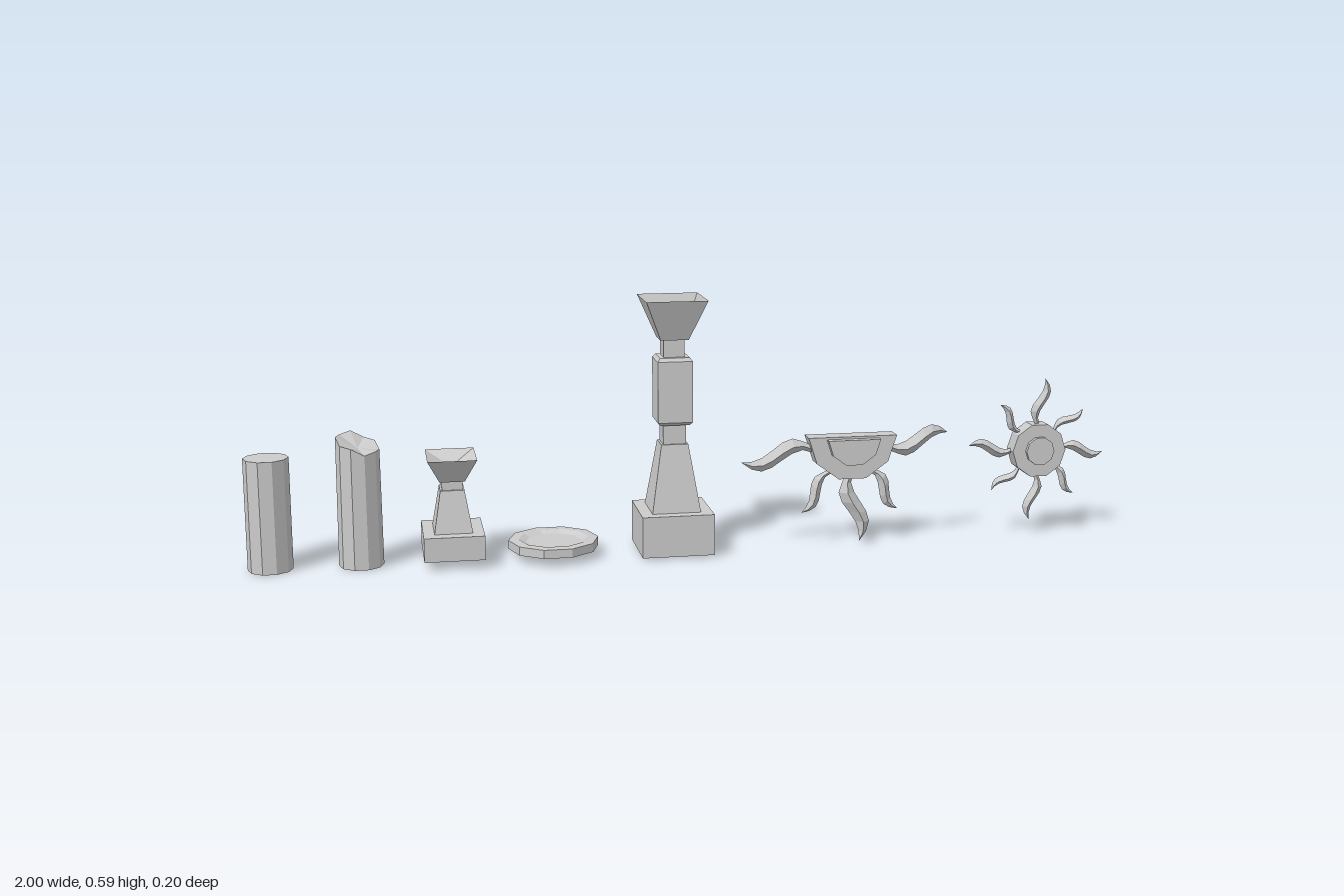
import * as THREE from 'three';

const mat = new THREE.MeshStandardMaterial({ color: 0xcccccc, flatShading: true });
const matOpen = new THREE.MeshStandardMaterial({ color: 0xcccccc, flatShading: true, side: THREE.DoubleSide });

function add(parent, name, geo, x = 0, y = 0, z = 0, material = mat) {
  const mesh = new THREE.Mesh(geo, material);
  mesh.name = name;
  mesh.position.set(x, y, z);
  parent.add(mesh);
  return mesh;
}

function group(parent, name, x, y, z) {
  const g = new THREE.Group();
  g.name = name;
  g.position.set(x, y, z);
  parent.add(g);
  return g;
}

// Square-section solid from a profile of [half width, y]
function squareLathe(profile, depthScale = 1) {
  const pts = profile.map(([w, y]) => new THREE.Vector2(w * Math.SQRT2, y));
  return new THREE.LatheGeometry(pts, 4, Math.PI / 4).scale(1, 1, depthScale);
}

// Ten-sided disc (or its lower half) facing z
function disc(r, depth, half = false) {
  const pts = [];
  const n = half ? 5 : 9;
  for (let i = 0; i <= n; i++) {
    const a = Math.PI + i * Math.PI / 5;
    pts.push(new THREE.Vector2(r * Math.cos(a), r * Math.sin(a)));
  }
  const geo = new THREE.ExtrudeGeometry(new THREE.Shape(pts), { depth, bevelEnabled: false });
  return geo.translate(0, 0, -depth / 2);
}

// Curling flame ray along +x: diamond sections swept on an S-curve
function rayGeometry(length, width, thick, curl, drift) {
  const widths = [0.4, 0.5, 0.85, 1, 0.95, 0.75, 0.42, 0];
  const n = widths.length - 1, pos = [], idx = [];
  widths.forEach((w, i) => {
    const t = i / n;
    const off = curl * length * (0.13 * t - 0.09 * Math.sin(2 * Math.PI * t));
    const z = drift * t * t;
    const hw = w * width, ht = w * thick;
    pos.push(t * length, off + hw, z, t * length, off, z + ht,
      t * length, off - hw, z, t * length, off, z - ht);
    if (i === n) return;
    for (let k = 0; k < 4; k++) {
      const a = i * 4 + k, b = i * 4 + (k + 1) % 4;
      idx.push(a, b, a + 4, b, b + 4, a + 4);
    }
  });
  idx.push(0, 2, 1, 0, 3, 2);
  const geo = new THREE.BufferGeometry();
  geo.setAttribute('position', new THREE.Float32BufferAttribute(pos, 3));
  geo.setIndex(idx);
  geo.computeVertexNormals();
  return geo;
}

// Each ray: [angle in degrees, start radius, tip radius, width, thickness, curl, z drift]
function addRays(parent, rays) {
  for (const [deg, r0, r1, w, t, curl, drift] of rays) {
    const a = THREE.MathUtils.degToRad(deg);
    const geo = rayGeometry(r1 - r0, w, t, curl, drift);
    add(parent, 'ray', geo, r0 * Math.cos(a), r0 * Math.sin(a), 0, matOpen).rotation.z = a;
  }
}

export function createModel() {
  const model = new THREE.Group();
  model.name = 'templeProps';

  // Whole column, open underneath
  const column = group(model, 'column', -0.95, 0, 0);
  const shaft = new THREE.CylinderGeometry(0.05, 0.05, 0.255, 10, 1, true).rotateY(Math.PI / 2);
  add(column, 'columnShaft', shaft, 0, 0.1275);
  add(column, 'columnTop', new THREE.CircleGeometry(0.05, 10).rotateX(-Math.PI / 2), 0, 0.255);

  // Broken column with a jagged slanted top
  const broken = group(model, 'brokenColumn', -0.75, 0, 0);
  const profile = [[0.05, 0], [0.048, 0.28], [0, 0.28]].map(([r, y]) => new THREE.Vector2(r, y));
  const stump = new THREE.LatheGeometry(profile, 10, Math.PI / 2);
  const p = stump.attributes.position;
  for (let i = 0; i < p.count; i++) {
    if (p.getY(i) < 0.1) continue;
    const x = p.getX(i), z = p.getZ(i);
    const centre = Math.hypot(x, z) < 0.01;
    p.setY(i, centre ? 0.268 : 0.28 - 0.32 * x - 0.3 * z + 0.006 * Math.sin(x * 130 + z * 90));
  }
  add(broken, 'brokenShaft', stump);

  // Small brazier with a shallow bowl
  const small = group(model, 'smallBrazier', -0.545, 0, 0);
  add(small, 'smallBase', squareLathe([[0.034, 0.02], [0.068, 0.02], [0.068, 0.075], [0.043, 0.075]], 1.2), 0, 0, 0, matOpen);
  add(small, 'smallShaft', squareLathe([[0.043, 0.075], [0.027, 0.17], [0.023, 0.17], [0.023, 0.19]], 1.2), 0, 0, 0, matOpen);
  add(small, 'smallBowl', squareLathe([[0.023, 0.19], [0.028, 0.19], [0.055, 0.245], [0, 0.218]], 1.2), 0, 0, 0, matOpen);

  // Round plate with a sunken centre
  const plate = [[0, 0.02], [0.103, 0.02], [0.103, 0.04], [0.08, 0.041], [0.064, 0.034], [0, 0.034]];
  add(model, 'roundPlate', new THREE.LatheGeometry(plate.map(([r, y]) => new THREE.Vector2(r, y)), 10, Math.PI / 2), -0.317);

  // Tall brazier, hollow from bowl to base
  const tall = group(model, 'tallBrazier', -0.04, 0, 0);
  add(tall, 'tallBase', squareLathe([[0.04, 0.005], [0.083, 0.005], [0.083, 0.1], [0.056, 0.1]]), 0, 0, 0, matOpen);
  add(tall, 'tallShaft', squareLathe([[0.056, 0.1], [0.031, 0.255], [0.026, 0.255], [0.026, 0.3]]), 0, 0, 0, matOpen);
  add(tall, 'tallBlock', squareLathe([[0.026, 0.3], [0.034, 0.3], [0.04, 0.307], [0.04, 0.447],
    [0.034, 0.455], [0.024, 0.455]]), 0, 0, 0, matOpen);
  add(tall, 'tallNeck', squareLathe([[0.024, 0.455], [0.024, 0.495]]), 0, 0, 0, matOpen);
  add(tall, 'tallBowl', squareLathe([[0.024, 0.495], [0.032, 0.495], [0.07, 0.588]]), 0, 0, 0, matOpen);
  add(tall, 'backMedallion', disc(0.036, 0.014), 0, 0.375, -0.04);

  // Half sun
  const half = group(model, 'halfSun', 0.375, 0.26, 0.024);
  add(half, 'halfRim', disc(0.105, 0.042, true));
  add(half, 'halfBoss', disc(0.062, 0.076, true), 0, -0.005);
  const halfRays = group(half, 'halfRays', 0, -0.03, 0);
  addRays(halfRays, [
    [180, 0.09, 0.262, 0.021, 0.016, 1, 0.014],
    [0, 0.09, 0.245, 0.021, 0.016, 1, -0.034],
    [270, 0.06, 0.222, 0.022, 0.018, 1, 0.014],
    [228, 0.075, 0.19, 0.015, 0.012, 1, 0],
    [312, 0.075, 0.19, 0.015, 0.012, -1, 0],
  ]);

  // Full sun
  const sun = group(model, 'fullSun', 0.83, 0.208, 0.022);
  add(sun, 'sunRim', disc(0.065, 0.042));
  add(sun, 'sunBoss', disc(0.034, 0.06));
  const rays = [];
  for (let i = 0; i < 8; i++) {
    const long = i % 2 === 0;
    rays.push([i * 45, 0.06, long ? 0.17 : 0.145, long ? 0.014 : 0.011, 0.012, -1, i === 0 ? -0.008 : 0.006]);
  }
  addRays(sun, rays);

  return model;
}
